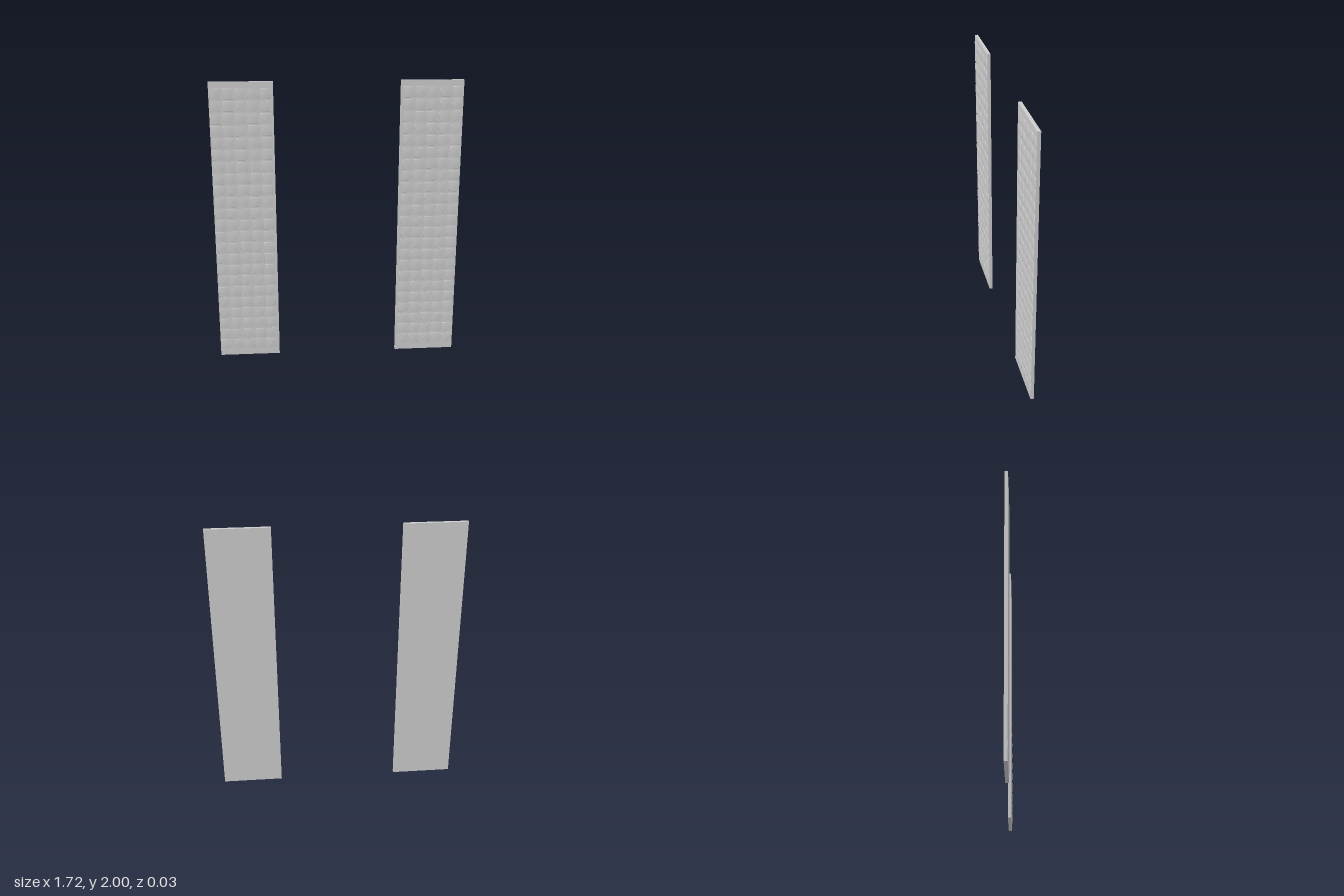
import * as THREE from 'three';
import { mergeGeometries } from 'three/addons/utils/BufferGeometryUtils.js';

const material = new THREE.MeshStandardMaterial({ color: 0xcccccc });
const BACK = -0.014, FACE = 0.009, PITCH = 0.0833;

// Square cushion: steep rim with a gently raised, softly shaded top
function cushionGeometry() {
  const profile = [[0.0355, 0], [0.0335, 0.0035], [0, 0.005]]
    .map(([half, h]) => new THREE.Vector2(half * Math.SQRT2, h));
  return new THREE.LatheGeometry(profile, 4, Math.PI / 4).rotateX(Math.PI / 2);
}

function createPanel(side) {
  const panel = new THREE.Group();
  panel.name = side > 0 ? 'leftPanel' : 'rightPanel';

  // Flat slab
  const slab = new THREE.Mesh(new THREE.BoxGeometry(0.43, 2, FACE - BACK), material);
  slab.name = 'slab';
  slab.position.set(side * 0.645, 1, (FACE + BACK) / 2);
  panel.add(slab);

  // 5 x 23 grid of cushions, set slightly towards the outer edge
  const cushion = cushionGeometry();
  const tiles = [];
  for (let col = 0; col < 5; col++) {
    for (let row = 0; row < 23; row++) {
      tiles.push(cushion.clone().translate(side * (0.485 + col * PITCH), 0.088 + row * PITCH, FACE));
    }
  }
  const grid = new THREE.Mesh(mergeGeometries(tiles), material);
  grid.name = 'cushionGrid';
  panel.add(grid);
  return panel;
}

export function createModel() {
  const model = new THREE.Group();
  model.name = 'panelPair';
  for (const side of [-1, 1]) model.add(createPanel(side));
  return model;
}
